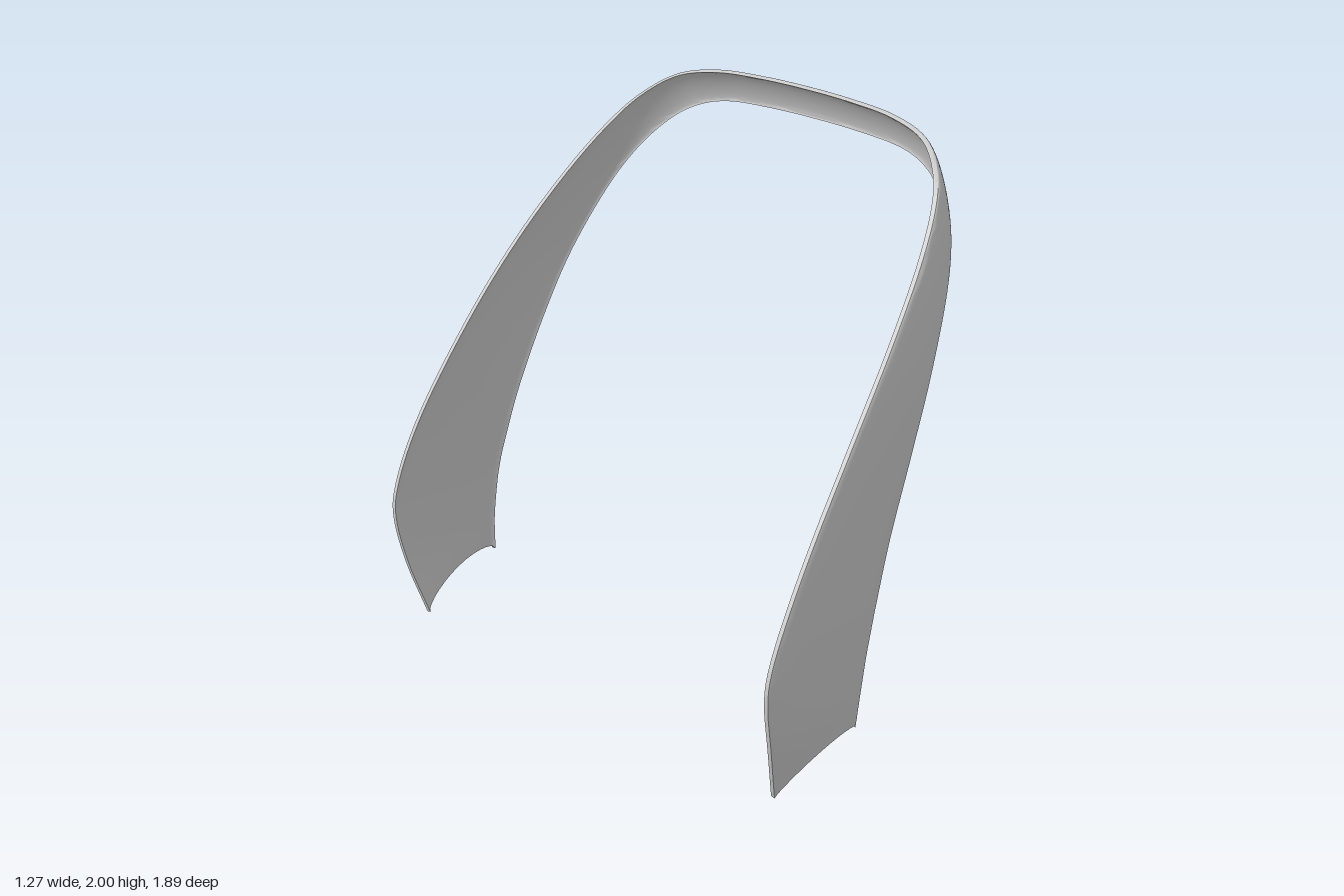
import * as THREE from 'three';
import { toCreasedNormals } from 'three/addons/utils/BufferGeometryUtils.js';

// Matching stations along the two edges of the band, from one foot to the middle of the arch
const BACK_EDGE = [
  [-0.54, 0, 0.885], [-0.6, 0.22, 0.92], [-0.635, 0.42, 0.933], [-0.615, 0.55, 0.935], [-0.53, 0.73, 0.933],
  [-0.4, 0.93, 0.922], [-0.2, 1.19, 0.9], [0, 1.42, 0.867], [0.2, 1.63, 0.815], [0.355, 1.785, 0.75],
  [0.45, 1.88, 0.675], [0.52, 1.95, 0.565], [0.555, 1.985, 0.4], [0.567, 1.997, 0.2], [0.57, 2, 0],
];
const FRONT_EDGE = [
  [-0.175, 0.12, 0.92], [-0.165, 0.25, 0.928], [-0.145, 0.38, 0.93], [-0.125, 0.47, 0.93], [-0.095, 0.57, 0.926],
  [-0.02, 0.78, 0.914], [0.1, 1.04, 0.895], [0.22, 1.27, 0.866], [0.36, 1.5, 0.808], [0.46, 1.65, 0.738],
  [0.54, 1.765, 0.64], [0.59, 1.83, 0.535], [0.618, 1.865, 0.4], [0.628, 1.877, 0.2], [0.63, 1.88, 0],
];
const THICKNESS = 0.016;
const BULGE = 0.012;
const ALONG = 168;
const ACROSS = 14;

// Full edge curve: one half plus its mirror image across z = 0
function edgeCurve(half) {
  const mirrored = half.slice(0, -1).reverse().map(([x, y, z]) => [x, y, -z]);
  const points = [...half, ...mirrored].map((p) => new THREE.Vector3(...p));
  return new THREE.CatmullRomCurve3(points, false, 'catmullrom', 0.5);
}

function bandGeometry() {
  const back = edgeCurve(BACK_EDGE);
  const front = edgeCurve(FRONT_EDGE);
  const ruled = (u, v) => back.getPoint(u).lerp(front.getPoint(u), v);
  const positions = [];
  const index = [];

  for (let i = 0; i <= ALONG; i++) {
    const u = i / ALONG;
    const u0 = Math.max(0, u - 0.002);
    const u1 = Math.min(1, u + 0.002);
    const across = front.getPoint(u).sub(back.getPoint(u));
    const foot = Math.exp(-Math.min(u, 1 - u) * 45); // 1 at the feet, fading upwards
    const outer = [];
    const inner = [];
    for (let j = 0; j <= ACROSS; j++) {
      const v = (1 - Math.cos((Math.PI * j) / ACROSS)) / 2;
      const arc = Math.sqrt(Math.max(0, Math.sin(Math.PI * v)));
      const along = ruled(u1, v).sub(ruled(u0, v));
      const normal = new THREE.Vector3().crossVectors(across, along).normalize();
      const p = ruled(u, v).addScaledVector(normal, arc * (BULGE + 0.01 * foot));
      p.y += 0.055 * arc * foot; // scooped hem at the foot
      outer.push(p);
      inner.push(p.clone().addScaledVector(normal, -THICKNESS));
    }
    for (const p of [...outer, ...inner.reverse()]) positions.push(p.x, p.y, p.z);
  }

  // Skin around the closed section
  const ring = 2 * (ACROSS + 1);
  for (let i = 0; i < ALONG; i++) {
    for (let j = 0; j < ring; j++) {
      const k = (j + 1) % ring;
      const a = i * ring + j, b = i * ring + k;
      const c = a + ring, d = b + ring;
      index.push(a, b, d, a, d, c);
    }
  }

  // Thin end faces at both feet
  const end = ALONG * ring;
  for (let j = 0; j < ACROSS; j++) {
    const o = j, o1 = j + 1, n = ring - 1 - j, n1 = ring - 2 - j;
    index.push(o, n, n1, o, n1, o1);
    index.push(end + o, end + n1, end + n, end + o, end + o1, end + n1);
  }

  const geometry = new THREE.BufferGeometry();
  geometry.setAttribute('position', new THREE.Float32BufferAttribute(positions, 3));
  geometry.setIndex(index);
  return toCreasedNormals(geometry, 0.7);
}

export function createModel() {
  const group = new THREE.Group();
  group.name = 'archedBand';
  const material = new THREE.MeshStandardMaterial({ color: 0xcccccc, side: THREE.DoubleSide });
  const band = new THREE.Mesh(bandGeometry(), material);
  band.name = 'band';
  group.add(band);
  return group;
}
